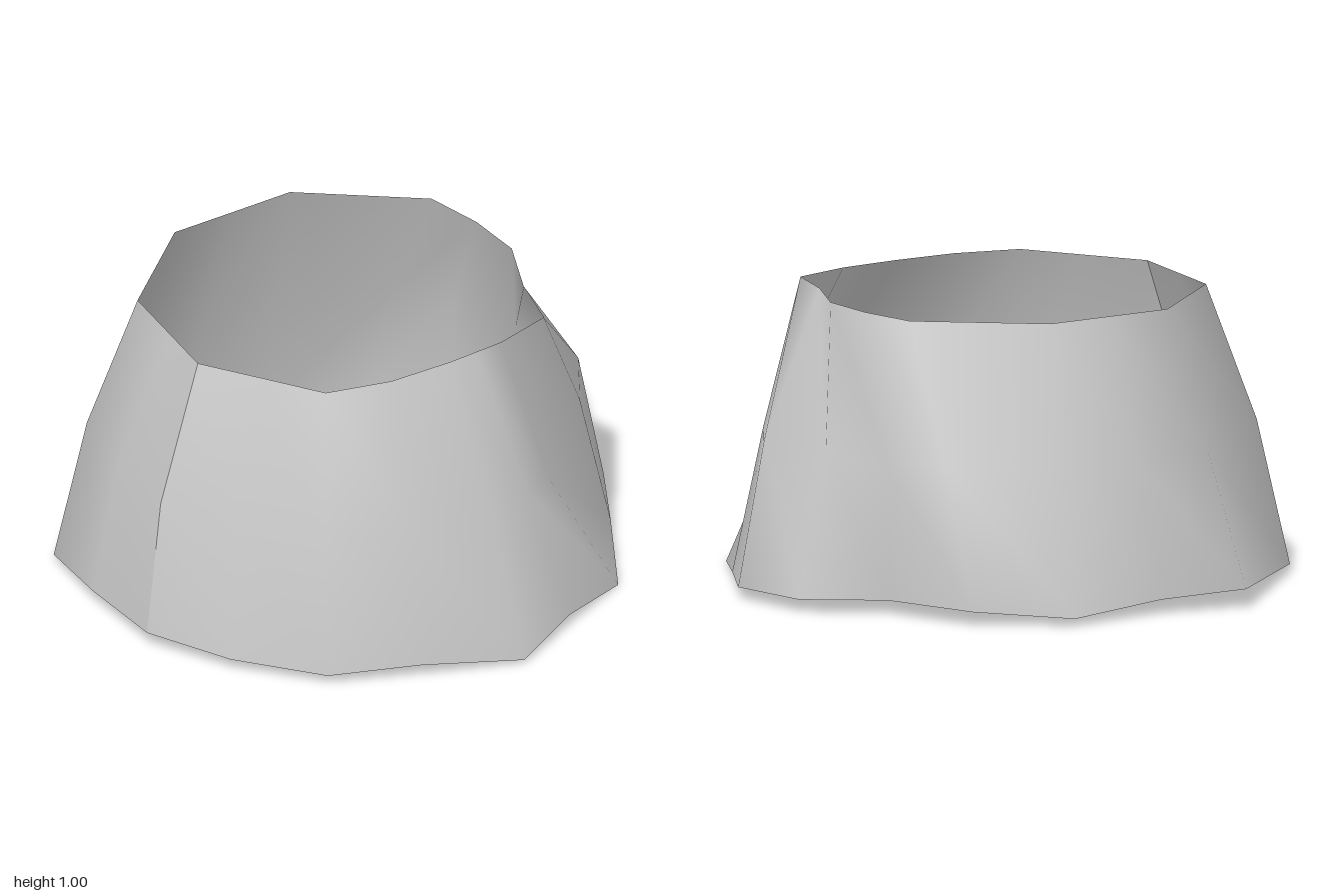
import * as THREE from 'three';

// Three cross-sections of the flared wall, walked from the front seam round by +x.
// Each point is [x, z]; the hem also has its own height.
const rim = [
  [0.07, 0.70], [0.285, 0.592], [0.50, 0.485], [0.575, 0.26], [0.595, 0.02], [0.595, -0.09],
  [0.595, -0.20], [0.55, -0.42], [0.34, -0.50], [0.11, -0.63], [-0.11, -0.65], [-0.33, -0.63],
  [-0.665, -0.28], [-0.677, -0.04], [-0.69, 0.20], [-0.40, 0.59], [-0.165, 0.645],
];
const waist = [
  [0.10, 0.885], [0.37, 0.74], [0.64, 0.60], [0.77, 0.33], [0.845, 0.03], [0.82, -0.14],
  [0.78, -0.26], [0.42, -0.68], [0.19, -0.855], [-0.11, -0.82], [-0.41, -0.785], [-0.57, -0.66],
  [-0.82, -0.34], [-0.825, -0.03], [-0.85, 0.25], [-0.495, 0.735], [-0.20, 0.825],
];
const hem = [
  [0.12, 0.96], [0.42, 0.835], [0.70, 0.635], [0.86, 0.355], [1, 0.02], [0.885, -0.27],
  [0.77, -0.57], [0.45, -0.79], [0.19, -0.965], [-0.14, -0.96], [-0.36, -0.745], [-0.71, -0.65],
  [-0.915, -0.37], [-0.915, 0], [-1, 0.30], [-0.55, 0.835], [-0.22, 0.925],
];
const hemHeight = [
  0.06, 0.045, 0.035, 0.05, 0.015, 0.04, 0, 0.035, 0.04, 0.045, 0.05, 0.05, 0.025, 0.05, 0.065, 0.025, 0.06,
];

// Smooth wall, wrapped once round and left split at the front seam
function wallGeometry() {
  const columns = hem.length;
  const positions = [];
  const index = [];
  for (let c = 0; c <= columns; c++) {
    const i = c % columns;
    positions.push(hem[i][0], hemHeight[i], hem[i][1]);
    positions.push(waist[i][0], 0.53, waist[i][1]);
    positions.push(rim[i][0], 1, rim[i][1]);
  }
  for (let c = 0; c < columns; c++) {
    for (let r = 0; r < 2; r++) {
      const a = c * 3 + r;
      const b = a + 3;
      index.push(a, b, a + 1, b, b + 1, a + 1);
    }
  }
  const geometry = new THREE.BufferGeometry();
  geometry.setAttribute('position', new THREE.Float32BufferAttribute(positions, 3));
  geometry.setIndex(index);
  geometry.computeVertexNormals();
  return geometry;
}

export function createModel() {
  const group = new THREE.Group();
  group.name = 'flaredSkirt';

  const grey = new THREE.MeshStandardMaterial({ color: 0xc8c8c8, side: THREE.DoubleSide });
  grey.name = 'light grey';

  // Open flared wall
  const wall = new THREE.Mesh(wallGeometry(), grey);
  wall.name = 'skirtWall';
  group.add(wall);
  return group;
}
